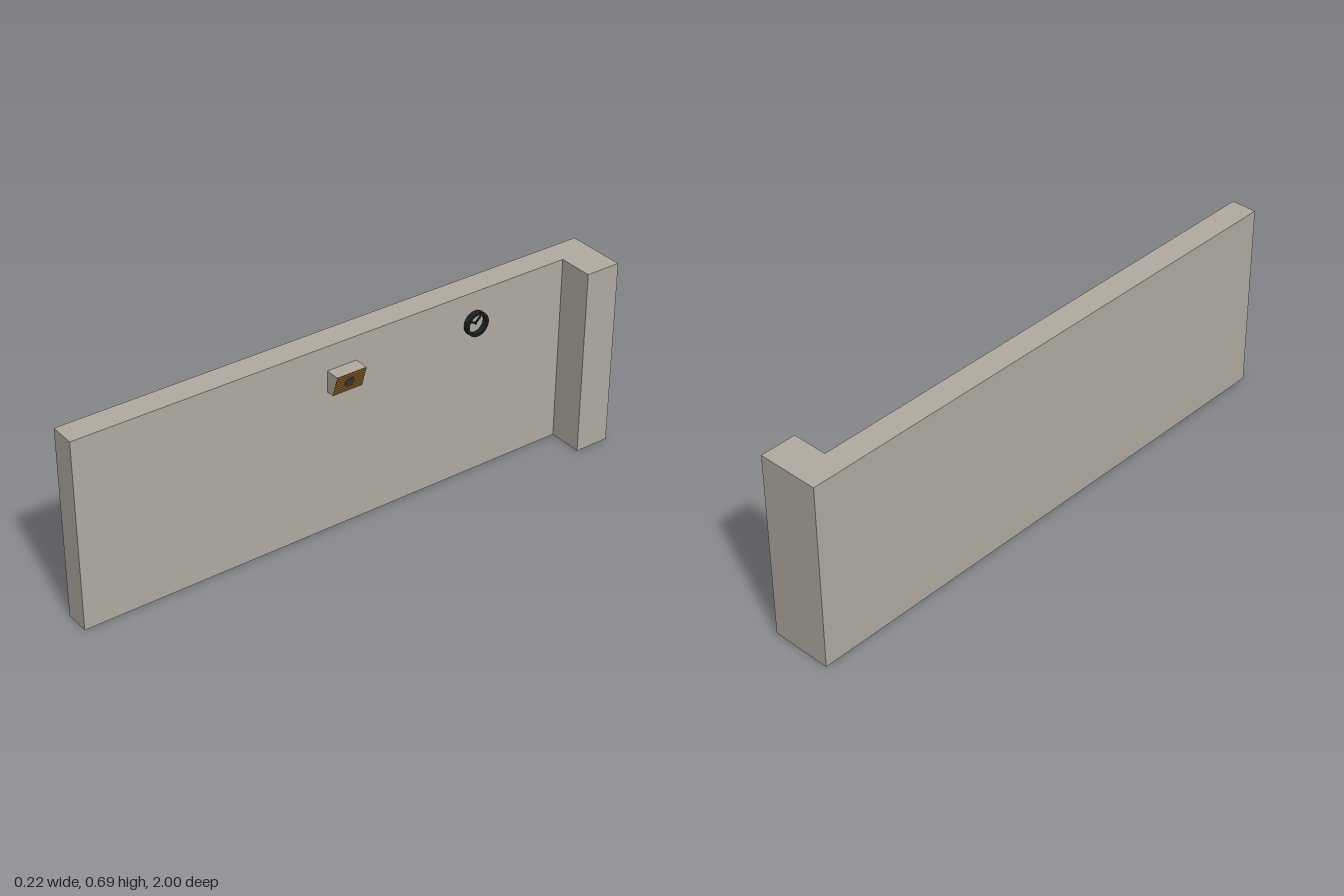
import * as THREE from 'three';

const stone = new THREE.MeshStandardMaterial({ color: 0xb0aaa0 });
stone.name = 'warm grey plaster';
const black = new THREE.MeshStandardMaterial({ color: 0x1c2020 });
black.name = 'black';
const wood = new THREE.MeshStandardMaterial({ color: 0xa8742c });
wood.name = 'ochre wood';
const charcoal = new THREE.MeshStandardMaterial({ color: 0x3c3c3c });
charcoal.name = 'charcoal';

const WALL_X = -0.018; // inner face of the wall

function add(parent, name, geometry, material, x = 0, y = 0, z = 0) {
  const mesh = new THREE.Mesh(geometry, material);
  mesh.name = name;
  mesh.position.set(x, y, z);
  parent.add(mesh);
  return mesh;
}

function prism(points, depth) {
  const shape = new THREE.Shape(points.map(([x, y]) => new THREE.Vector2(x, y)));
  return new THREE.ExtrudeGeometry(shape, { depth, bevelEnabled: false });
}

// L-shaped wall with a return at the back end
function buildWall(group) {
  const geo = prism([[-0.11, -1], [WALL_X, -1], [WALL_X, 0.87], [0.11, 0.87], [0.11, 1], [-0.11, 1]], 0.688);
  geo.rotateX(-Math.PI / 2);
  add(group, 'wall', geo, stone);
}

// Wedge-shaped speaker with a slatted, downward-tilted front
function buildSpeaker(group) {
  const speaker = new THREE.Group();
  speaker.name = 'wallSpeaker';
  const bottom = 0.522, top = 0.6, xLow = 0.01, xHigh = 0.035, width = 0.112;
  speaker.position.z = 0.028;
  const body = prism([[WALL_X, bottom], [xLow, bottom], [xHigh, top], [WALL_X, top]], width);
  add(speaker, 'speakerBody', body, stone, 0, 0, -width / 2);

  const grille = new THREE.Group();
  grille.name = 'grille';
  grille.position.set((xLow + xHigh) / 2, (bottom + top) / 2, 0);
  grille.rotation.z = -Math.atan2(xHigh - xLow, top - bottom);
  const length = Math.hypot(xHigh - xLow, top - bottom);
  const count = 8, pitch = length / count;
  add(grille, 'grilleBacking', new THREE.BoxGeometry(0.0008, length, width), charcoal);
  for (let i = 0; i < count; i++) {
    add(grille, 'slat', new THREE.BoxGeometry(0.002, pitch * 0.74, width), wood,
      0.0006, -length / 2 + pitch * (i + 0.5), 0);
  }
  const cone = new THREE.CylinderGeometry(0.02, 0.02, 0.003, 24);
  cone.rotateZ(Math.PI / 2);
  add(grille, 'speakerCone', cone, charcoal, 0.0008);
  speaker.add(grille);
  group.add(speaker);
}

// Open-ring clock with two hands
function buildClock(group) {
  const clock = new THREE.Group();
  clock.name = 'clock';
  clock.position.set(WALL_X, 0.574, -0.502);
  clock.rotation.y = Math.PI / 2;
  const ring = new THREE.Shape().absarc(0, 0, 0.044, 0, Math.PI * 2, false);
  ring.holes.push(new THREE.Path().absarc(0, 0, 0.035, 0, Math.PI * 2, true));
  add(clock, 'clockRim', new THREE.ExtrudeGeometry(ring, { depth: 0.02, bevelEnabled: false, curveSegments: 20 }), black);
  for (const [name, length, angle] of [['hourHand', 0.024, 1.1], ['minuteHand', 0.031, -0.8]]) {
    const geo = new THREE.BoxGeometry(0.005, length, 0.004);
    geo.translate(0, length / 2, 0);
    add(clock, name, geo, black, 0, 0, 0.006).rotation.z = angle;
  }
  const hub = new THREE.CylinderGeometry(0.004, 0.004, 0.008, 12);
  hub.rotateX(Math.PI / 2);
  add(clock, 'clockHub', hub, black, 0, 0, 0.005);
  group.add(clock);
}

export function createModel() {
  const group = new THREE.Group();
  group.name = 'wallSection';
  buildWall(group);
  buildSpeaker(group);
  buildClock(group);
  return group;
}
